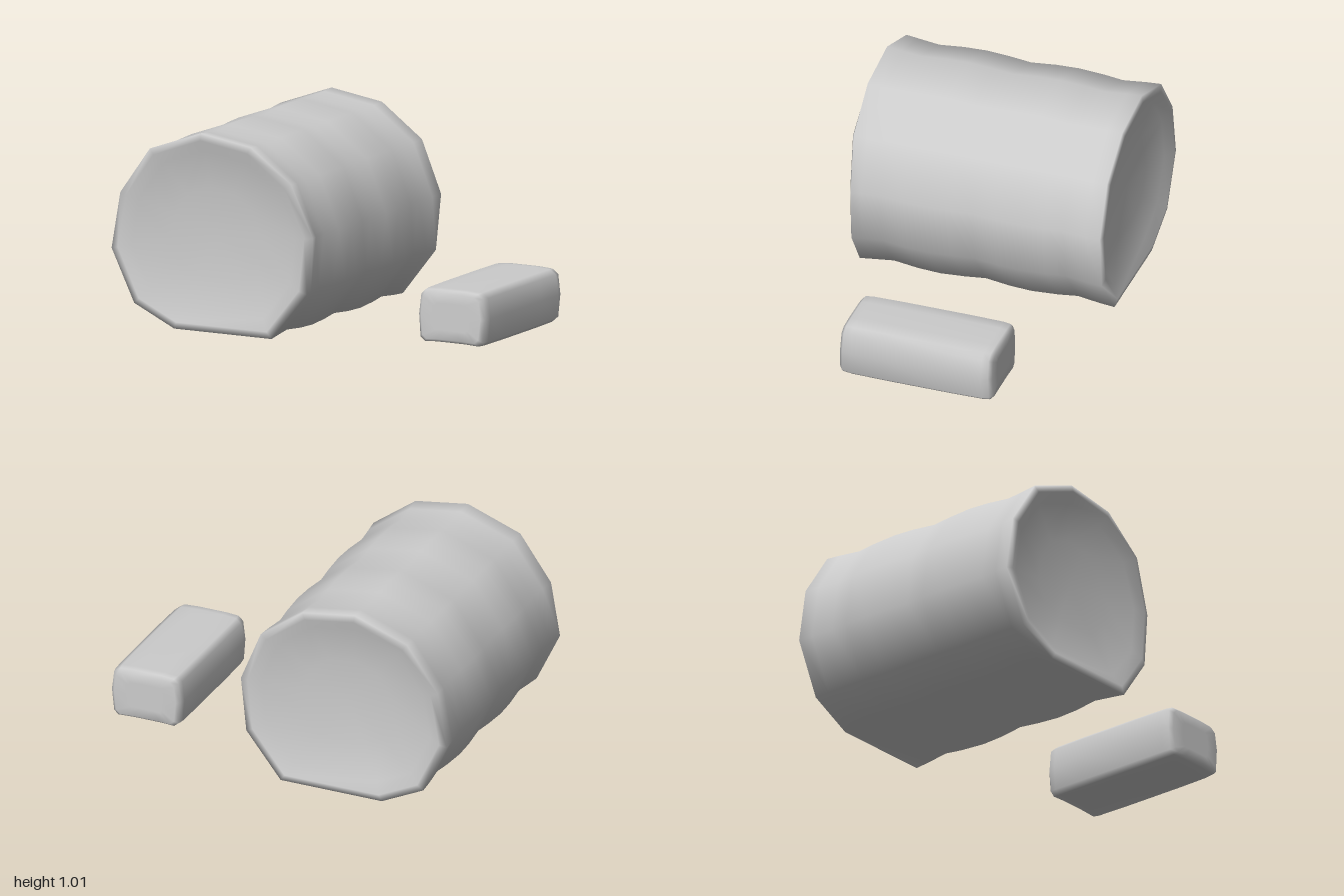
import * as THREE from 'three';
import { mergeVertices } from 'three/addons/utils/BufferGeometryUtils.js';

const material = new THREE.MeshStandardMaterial({ color: 0xcccccc });

// Skins an outline (counter-clockwise seen from +z) through stations [z, scaleX, scaleY], back to front.
function loft(name, outline, [cx, cy], stations, bend = (p) => p) {
  const n = outline.length, pos = [], index = [];
  for (const [z, sx, sy = sx] of stations) {
    for (const [x, y] of outline) {
      const p = new THREE.Vector3(cx + (x - cx) * sx, cy + (y - cy) * sy, z);
      bend(p);
      pos.push(p.x, p.y, p.z);
    }
  }
  for (let i = 0; i < stations.length - 1; i++) {
    for (let j = 0; j < n; j++) {
      const a = i * n + j, b = i * n + (j + 1) % n;
      const tipBack = stations[i][1] === 0, tipFront = stations[i + 1][1] === 0;
      if (!tipBack) index.push(a, b, tipFront ? a + n : b + n);
      if (!tipFront) index.push(a, b + n, a + n);
    }
  }
  let geo = new THREE.BufferGeometry();
  geo.setAttribute('position', new THREE.Float32BufferAttribute(pos, 3));
  geo.setIndex(index);
  geo = mergeVertices(geo, 1e-5);
  geo.computeVertexNormals();
  const mesh = new THREE.Mesh(geo, material);
  mesh.name = name;
  return mesh;
}

export function createModel() {
  const group = new THREE.Group();
  group.name = 'hayBales';

  // Round bale: uneven eleven-sided drum, flat underneath, cinched three times, dished ends
  const drum = [
    [-0.64, 0], [-0.08, 0], [0.11, 0.24], [0.14, 0.53], [0.03, 0.80], [-0.20, 0.97],
    [-0.49, 1.015], [-0.78, 0.91], [-0.95, 0.67], [-1.0, 0.38], [-0.87, 0.11],
  ];
  const drumStations = [
    [-0.62, 0], [-0.63, 0.45], [-0.655, 0.82], [-0.688, 0.93], [-0.68, 1],
    [-0.60, 0.99], [-0.48, 0.967], [-0.38, 0.985], [-0.24, 0.998], [-0.12, 0.99],
    [0.01, 0.967], [0.12, 0.985], [0.25, 0.998], [0.37, 0.99],
    [0.50, 0.967], [0.60, 0.985], [0.68, 1], [0.688, 0.93], [0.655, 0.82], [0.63, 0.45], [0.62, 0],
  ];
  // The front rim leans back a little on its +x side
  const sagRim = (p) => {
    if (p.z > 0.64) p.z -= 0.22 * Math.max(0, p.x);
  };
  group.add(loft('roundBale', drum, [-0.43, 0.5], drumStations, sagRim));

  // Square bale: soft-edged block with slightly bowed sides
  const block = [
    [0.64, 0.008], [0.71, 0.012], [0.87, 0.012], [0.96, 0.008], [0.985, 0.03], [0.998, 0.15],
    [0.985, 0.255], [0.95, 0.28], [0.87, 0.285], [0.71, 0.285], [0.64, 0.28],
    [0.613, 0.255], [0.602, 0.15], [0.613, 0.03],
  ];
  const blockStations = [
    [-0.403, 0], [-0.403, 0.5], [-0.403, 0.86], [-0.385, 0.96, 0.97], [-0.35, 0.99], [-0.18, 1],
    [0.18, 1], [0.35, 0.99], [0.395, 0.96, 0.97], [0.412, 0.86], [0.412, 0.5], [0.412, 0],
  ];
  // The front end tilts back slightly towards the top
  const tiltFront = (p) => {
    if (p.z > 0.38) p.z -= 0.04 * (p.y - 0.1);
  };
  group.add(loft('squareBale', block, [0.8, 0.147], blockStations, tiltFront));

  return group;
}
